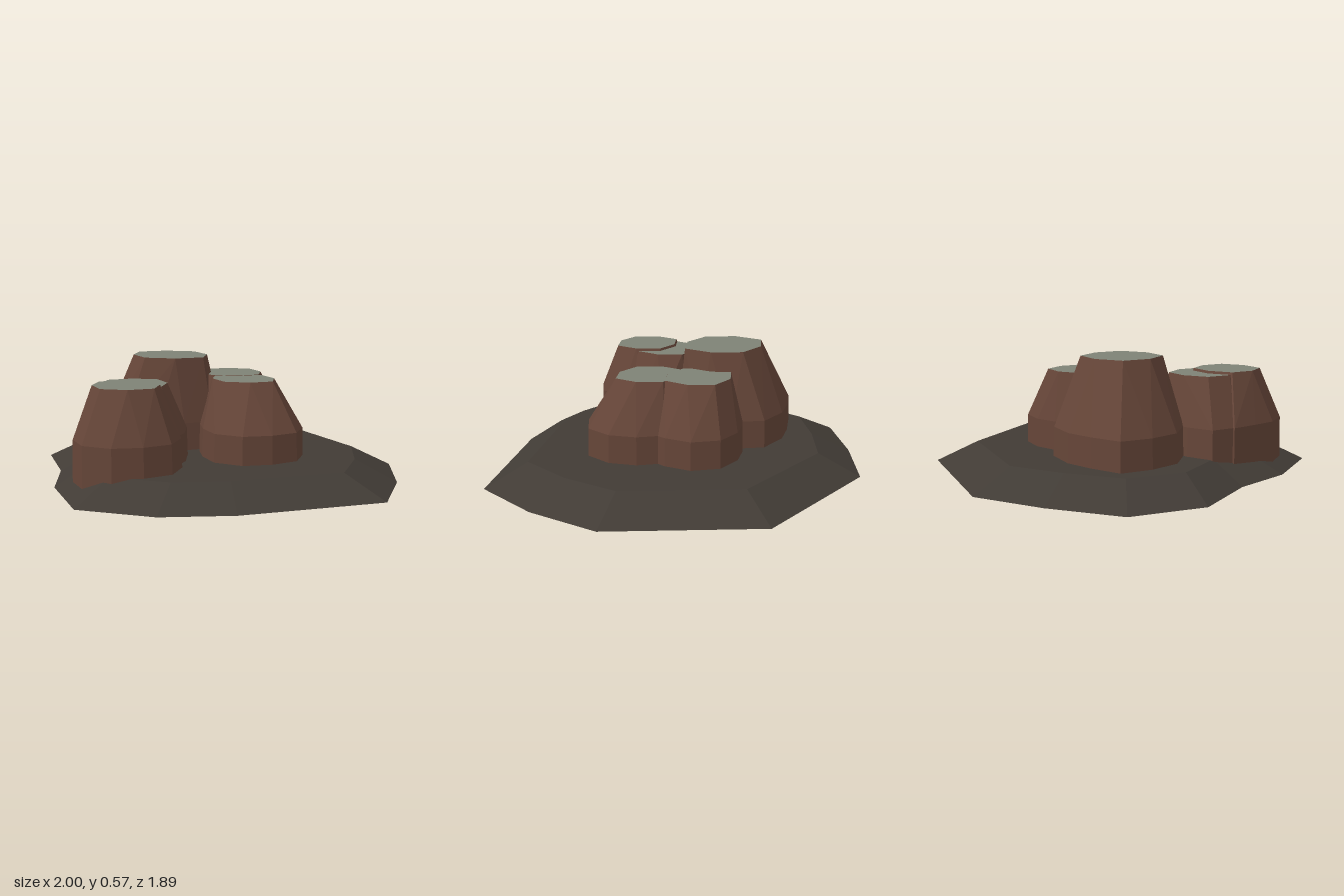
import * as THREE from 'three';
import { ConvexGeometry } from 'three/addons/geometries/ConvexGeometry.js';

const ground = new THREE.MeshStandardMaterial({ color: 0x413b35, flatShading: true, side: THREE.DoubleSide });
ground.name = 'dark earth';
const stone = new THREE.MeshStandardMaterial({ color: 0x654538, flatShading: true, side: THREE.DoubleSide });
stone.name = 'red brown rock';
const capStone = new THREE.MeshStandardMaterial({ color: 0x7e8275, flatShading: true });
capStone.name = 'grey green rock top';

// Outline of the mound as x, z pairs; the plateau is the same outline scaled down
const MOUND = [
  [0, -0.95], [0.68, -0.65], [0.88, -0.34], [1, 0], [0.6, 0.57], [0.35, 0.8], [0, 0.945],
  [-0.34, 0.765], [-0.56, 0.535], [-0.87, 0.34], [-1, 0], [-0.87, -0.34], [-0.695, -0.66],
];

// Each rock: height, foot and top as [centre x, centre z, radius x, radius z],
// and how far each corner of the foot reaches, starting at +x and turning to +z
const ROCKS = [
  { name: 'tallRock', height: 0.57, foot: [-0.345, -0.02, 0.35, 0.31], top: [-0.285, -0.005, 0.225, 0.195],
    reach: [0.97, 0.86, 0.86, 1, 0.98, 0.93, 1, 0.84, 0.88, 1, 0.95, 0.93] },
  { name: 'backRock', height: 0.478, foot: [-0.01, -0.215, 0.285, 0.27], top: [-0.035, -0.205, 0.18, 0.165],
    reach: [0.95, 0.9, 0.9, 0.97, 0.9, 0.88, 0.97, 0.85, 0.89, 0.99, 0.98, 0.91] },
  { name: 'rightRock', height: 0.476, foot: [0.195, -0.05, 0.295, 0.28], top: [0.16, -0.055, 0.18, 0.155],
    reach: [1, 0.95, 1, 0.98, 0.86, 0.86, 0.98, 0.9, 0.9, 0.92, 0.91, 0.95] },
  { name: 'innerFrontRock', height: 0.474, foot: [-0.17, 0.41, 0.29, 0.26], top: [-0.16, 0.4, 0.18, 0.17],
    reach: [0.97, 0.92, 0.95, 0.98, 0.92, 0.9, 1, 0.84, 0.84, 0.9, 1.06, 0.95] },
  { name: 'outerFrontRock', height: 0.486, foot: [-0.105, 0.52, 0.3, 0.28], top: [-0.09, 0.525, 0.18, 0.165],
    reach: [0.99, 0.94, 0.98, 1, 0.89, 0.83, 1.01, 0.9, 0.9, 0.97, 0.92, 0.93] },
];
const TOP_REACH = [1, 0.92, 1, 0.92, 1, 0.92, 1, 0.92];

function addMesh(parent, name, geometry, material) {
  const mesh = new THREE.Mesh(geometry, material);
  mesh.name = name;
  parent.add(mesh);
}

function trianglesGeometry(positions) {
  const g = new THREE.BufferGeometry();
  g.setAttribute('position', new THREE.Float32BufferAttribute(positions, 3));
  g.computeVertexNormals();
  return g;
}

// Sloped skirt and flat plateau, open underneath
function moundGeometry() {
  const out = [];
  const low = MOUND.map(([x, z]) => [x, 0, z]);
  const high = MOUND.map(([x, z]) => [x * 0.78, 0.1, z * 0.78]);
  for (let i = 0; i < MOUND.length; i++) {
    const j = (i + 1) % MOUND.length;
    out.push(...low[i], ...high[i], ...high[j], ...low[i], ...high[j], ...low[j]);
    out.push(...high[i], 0, 0.1, 0, ...high[j]);
  }
  return trianglesGeometry(out);
}

// Level ring with one corner for each entry of reach
function ring([cx, cz, rx, rz], y, reach, scale) {
  return reach.map((r, i) => {
    const a = (i / reach.length) * Math.PI * 2;
    return new THREE.Vector3(cx + Math.cos(a) * rx * r * scale, y, cz + Math.sin(a) * rz * r * scale);
  });
}

// Hull of three rings, split into walls and cap, with the underside left open
function makeRock({ name, height, foot, top, reach }) {
  const hull = new ConvexGeometry([
    ...ring(foot, 0.02, reach, 1.01),
    ...ring(foot, 0.24, reach, 0.985),
    ...ring(top, height, TOP_REACH, 1),
  ]);
  const pos = hull.attributes.position.array;
  const normal = hull.attributes.normal;
  const walls = [];
  const cap = [];
  for (let i = 0; i < normal.count; i += 3) {
    const ny = normal.getY(i);
    if (ny < -0.9) continue;
    (ny > 0.99 ? cap : walls).push(...pos.slice(i * 3, i * 3 + 9));
  }
  const rock = new THREE.Group();
  rock.name = name;
  addMesh(rock, 'rockWalls', trianglesGeometry(walls), stone);
  addMesh(rock, 'rockCap', trianglesGeometry(cap), capStone);
  return rock;
}

export function createModel() {
  const model = new THREE.Group();
  model.name = 'rockOutcrop';
  addMesh(model, 'mound', moundGeometry(), ground);
  for (const spec of ROCKS) model.add(makeRock(spec));
  return model;
}
